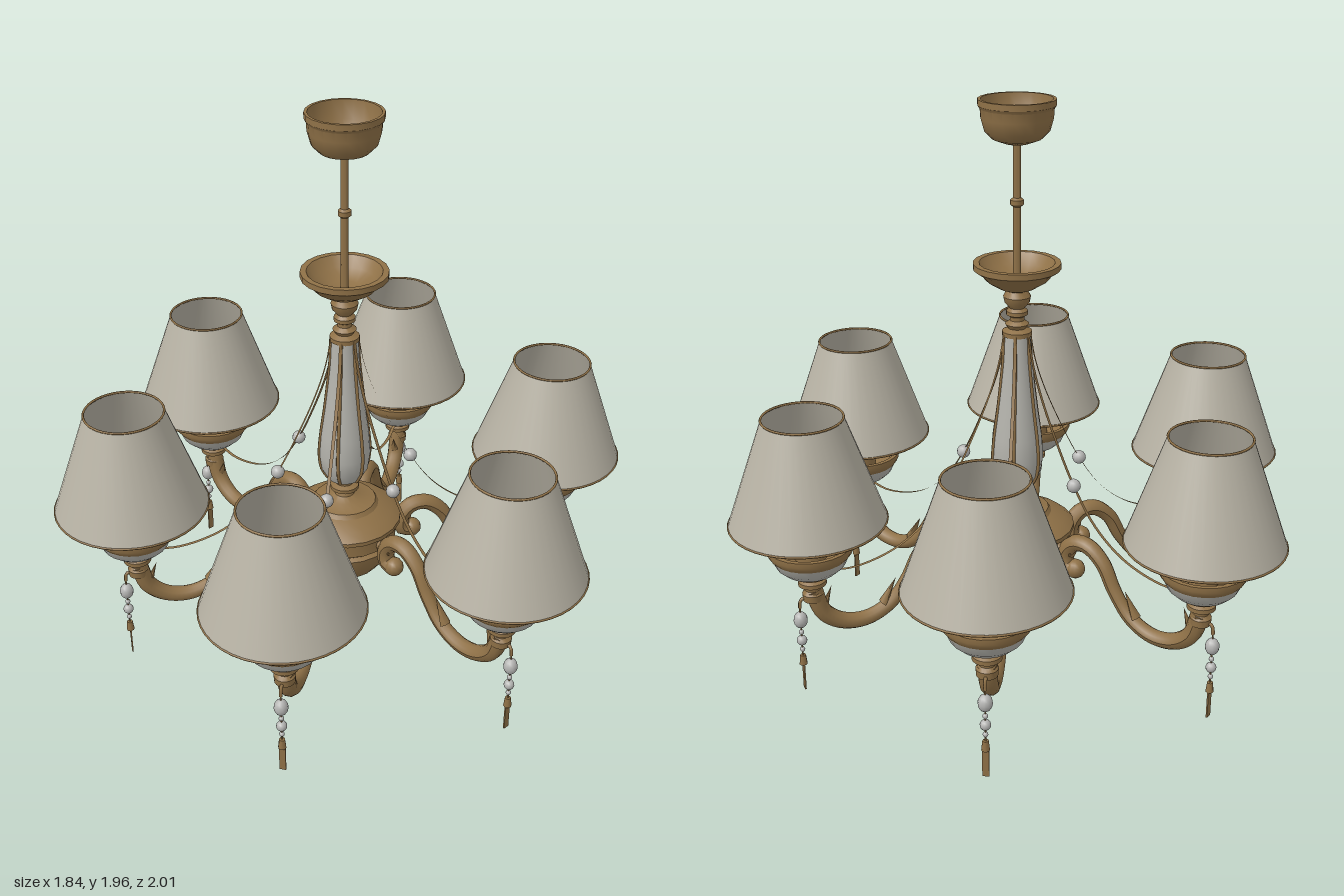
import * as THREE from 'three';
import { toCreasedNormals } from 'three/addons/utils/BufferGeometryUtils.js';

const material = (name, color, side = THREE.FrontSide) => {
  const m = new THREE.MeshStandardMaterial({ color, side });
  m.name = name;
  return m;
};
const bronze = material('bronze', 0x8f7147, THREE.DoubleSide);
const fabric = material('shade fabric', 0xb7b2a4, THREE.DoubleSide);
const ceramic = material('ceramic', 0xb4b3ac);
const crystal = material('crystal', 0xb6b6b4);

const v2 = (p) => p.map(([r, y]) => new THREE.Vector2(r, y));
const v3 = (p) => p.map(([r, y]) => new THREE.Vector3(r, y, 0));

function add(parent, name, geometry, mat, x = 0, y = 0, z = 0) {
  const mesh = new THREE.Mesh(geometry, mat);
  mesh.name = name;
  mesh.position.set(x, y, z);
  parent.add(mesh);
  return mesh;
}

// Turned part from [radius, height] pairs, bottom to top
function turned(parent, name, profile, mat, x = 0, segments = 20) {
  const g = toCreasedNormals(new THREE.LatheGeometry(v2(profile), segments), 0.6);
  return add(parent, name, g, mat, x);
}

// Round bar along a curve whose radius follows radiusAt(t)
function taperedTube(curve, steps, sides, radiusAt) {
  const g = new THREE.TubeGeometry(curve, steps, 1, sides);
  const pos = g.attributes.position;
  const v = new THREE.Vector3();
  for (let i = 0; i <= steps; i++) {
    const centre = curve.getPointAt(i / steps);
    for (let j = 0; j <= sides; j++) {
      const k = i * (sides + 1) + j;
      v.fromBufferAttribute(pos, k).sub(centre).multiplyScalar(radiusAt(i / steps)).add(centre);
      pos.setXYZ(k, v.x, v.y, v.z);
    }
  }
  g.computeVertexNormals();
  return g;
}

// Flat band along a curve in the radial plane, wide across it
function ribbon(curve, steps, width) {
  const g = new THREE.PlaneGeometry(1, width, steps, 1);
  const pos = g.attributes.position;
  for (let i = 0; i <= steps; i++) {
    const p = curve.getPointAt(i / steps);
    pos.setXYZ(i, p.x, p.y, width / 2);
    pos.setXYZ(i + steps + 1, p.x, p.y, -width / 2);
  }
  g.computeVertexNormals();
  return g;
}

const LAMP = 0.742;
const vaseProfile = [[0.03, 0.625], [0.06, 0.64], [0.082, 0.68], [0.09, 0.74], [0.084, 0.82],
  [0.07, 0.92], [0.058, 1.02], [0.05, 1.1], [0.046, 1.19], [0, 1.19]];

function centralColumn() {
  const g = new THREE.Group();
  g.name = 'centralColumn';
  turned(g, 'urnBody', [[0, 0.085], [0.022, 0.088], [0.034, 0.105], [0.03, 0.125], [0.016, 0.135], [0.018, 0.155],
    [0.036, 0.165], [0.036, 0.178], [0.028, 0.19], [0.045, 0.215], [0.08, 0.24], [0.125, 0.28], [0.155, 0.32],
    [0.17, 0.36], [0.175, 0.385], [0.16, 0.395], [0.16, 0.41], [0.185, 0.415], [0.185, 0.46], [0.2, 0.47],
    [0.2, 0.485], [0.17, 0.51], [0.12, 0.53], [0.11, 0.545], [0.06, 0.555], [0.035, 0.57], [0.03, 0.585],
    [0.05, 0.592], [0.05, 0.605], [0.03, 0.612], [0.032, 0.63], [0, 0.63]], bronze);
  turned(g, 'ceramicVase', vaseProfile, ceramic, 0, 24);
  turned(g, 'upperNeck', [[0, 1.18], [0.05, 1.18], [0.05, 1.195], [0.03, 1.205], [0.04, 1.22], [0.024, 1.232],
    [0.024, 1.245], [0.036, 1.252], [0.036, 1.265], [0.025, 1.275], [0.042, 1.295], [0.046, 1.315],
    [0.035, 1.335], [0.06, 1.345], [0.1, 1.37], [0.122, 1.395], [0.145, 1.41], [0.145, 1.43],
    [0.125, 1.43], [0.1, 1.395], [0.05, 1.37], [0, 1.365]], bronze);
  turned(g, 'hangingRod', [[0, 1.36], [0.013, 1.36], [0.013, 1.615], [0.022, 1.622], [0.022, 1.638],
    [0.013, 1.645], [0.013, 1.83]], bronze, 0, 12);
  turned(g, 'ceilingCanopy', [[0, 1.818], [0.04, 1.82], [0.08, 1.835], [0.105, 1.86], [0.116, 1.9],
    [0.118, 1.93], [0.125, 1.94], [0.125, 1.96], [0.115, 1.96], [0.108, 1.9], [0.075, 1.85], [0, 1.835]], bronze);
  return g;
}

// Pendant string: linked beads with a flat drop at the bottom
function pendant(parent) {
  const x = 0.79;
  const hook = new THREE.CatmullRomCurve3(v3([[0.735, 0.33], [0.76, 0.35], [0.785, 0.345], [x, 0.315]]));
  add(parent, 'pendantHook', new THREE.TubeGeometry(hook, 8, 0.006, 6), bronze);
  add(parent, 'pendantWire', new THREE.CylinderGeometry(0.003, 0.003, 0.22, 5), bronze, x, 0.22);
  for (const [y, r, stretch] of [[0.27, 0.024, 1.25], [0.222, 0.009, 1], [0.19, 0.018, 1], [0.155, 0.009, 1]]) {
    add(parent, 'pendantBead', new THREE.SphereGeometry(r, 12, 8), crystal, x, y).scale.y = stretch;
  }
  add(parent, 'pendantCap', new THREE.CylinderGeometry(0.01, 0.014, 0.035, 8), bronze, x, 0.115);
  add(parent, 'pendantDrop', new THREE.BoxGeometry(0.005, 0.1, 0.022), bronze, x, 0.05);
}

function leaf(parent, x, y, angle, length) {
  const m = add(parent, 'armLeaf', new THREE.ConeGeometry(0.024, length, 6), bronze, x, y);
  m.rotation.z = angle;
  m.scale.x = 0.6;
}

function lampArm() {
  const g = new THREE.Group();
  g.name = 'lampArm';

  // S-shaped arm with a curl beside the urn
  const path = new THREE.CatmullRomCurve3(v3([[0.25, 0.375], [0.215, 0.385], [0.21, 0.43], [0.245, 0.475],
    [0.3, 0.48], [0.36, 0.435], [0.41, 0.345], [0.475, 0.265], [0.56, 0.226], [0.645, 0.235], [0.71, 0.285], [LAMP, 0.38]]));
  const radius = (t) => 0.024 + 0.008 * Math.abs(2 * t - 1);
  add(g, 'curvedArm', taperedTube(path, 48, 10, radius), bronze);
  add(g, 'armCurl', new THREE.SphereGeometry(0.034, 12, 8), bronze, 0.25, 0.378);
  const bracket = add(g, 'armBracket', new THREE.CylinderGeometry(0.022, 0.022, 0.08, 10), bronze, 0.2, 0.44);
  bracket.rotation.z = Math.PI / 2;
  leaf(g, 0.475, 0.315, 0.5, 0.1);
  leaf(g, 0.695, 0.33, 0.35, 0.1);

  // Socket, ceramic dish and candle sleeve
  turned(g, 'socketNeck', [[0, 0.335], [0.034, 0.34], [0.036, 0.365], [0.026, 0.378], [0.028, 0.39], [0.048, 0.4],
    [0.048, 0.415], [0.036, 0.422], [0.06, 0.435], [0.066, 0.448], [0, 0.448]], bronze, LAMP);
  turned(g, 'ceramicDish', [[0.06, 0.442], [0.09, 0.455], [0.115, 0.478], [0.13, 0.512]], ceramic, LAMP, 24);
  turned(g, 'dishRim', [[0.128, 0.508], [0.138, 0.52], [0.145, 0.535], [0.145, 0.552], [0.13, 0.552],
    [0.11, 0.52], [0.05, 0.5]], bronze, LAMP, 24);
  turned(g, 'candleSleeve', [[0.055, 0.49], [0.055, 0.78], [0.02, 0.79], [0, 0.79]], bronze, LAMP, 16);
  add(g, 'bulb', new THREE.SphereGeometry(0.05, 16, 12), crystal, LAMP, 0.83);

  // Tapered lampshade
  turned(g, 'lampshade', [[0.26, 0.637], [0.132, 1.0]], fabric, LAMP, 40);
  for (const [name, r, y] of [['shadeTopRim', 0.132, 1.0], ['shadeBottomRim', 0.259, 0.637]]) {
    add(g, name, new THREE.TorusGeometry(r, 0.004, 6, 40), bronze, LAMP, y).rotation.x = Math.PI / 2;
  }

  // Swag from the column top to the lamp
  const swag = new THREE.CatmullRomCurve3(v3([[0.048, 1.185], [0.065, 1.09], [0.1, 0.98], [0.165, 0.83], [0.237, 0.69],
    [0.32, 0.57], [0.42, 0.487], [0.52, 0.445], [0.62, 0.43], [0.7, 0.445]]));
  add(g, 'swagChain', ribbon(swag, 40, 0.012), bronze);
  add(g, 'swagBead', new THREE.SphereGeometry(0.024, 12, 8), crystal, 0.237, 0.69);

  // Rib along the vase
  const rib = new THREE.CatmullRomCurve3(v3(vaseProfile.slice(1, -1)));
  add(g, 'vaseRib', new THREE.TubeGeometry(rib, 24, 0.006, 6), bronze);

  pendant(g);
  return g;
}

export function createModel() {
  const model = new THREE.Group();
  model.name = 'chandelier';
  model.add(centralColumn());
  for (const degrees of [-88, -27.8, 31.7, 90, 152, 211.4]) {
    const arm = lampArm();
    arm.rotation.y = -THREE.MathUtils.degToRad(degrees);
    model.add(arm);
  }
  model.position.z = -0.006;
  return model;
}
